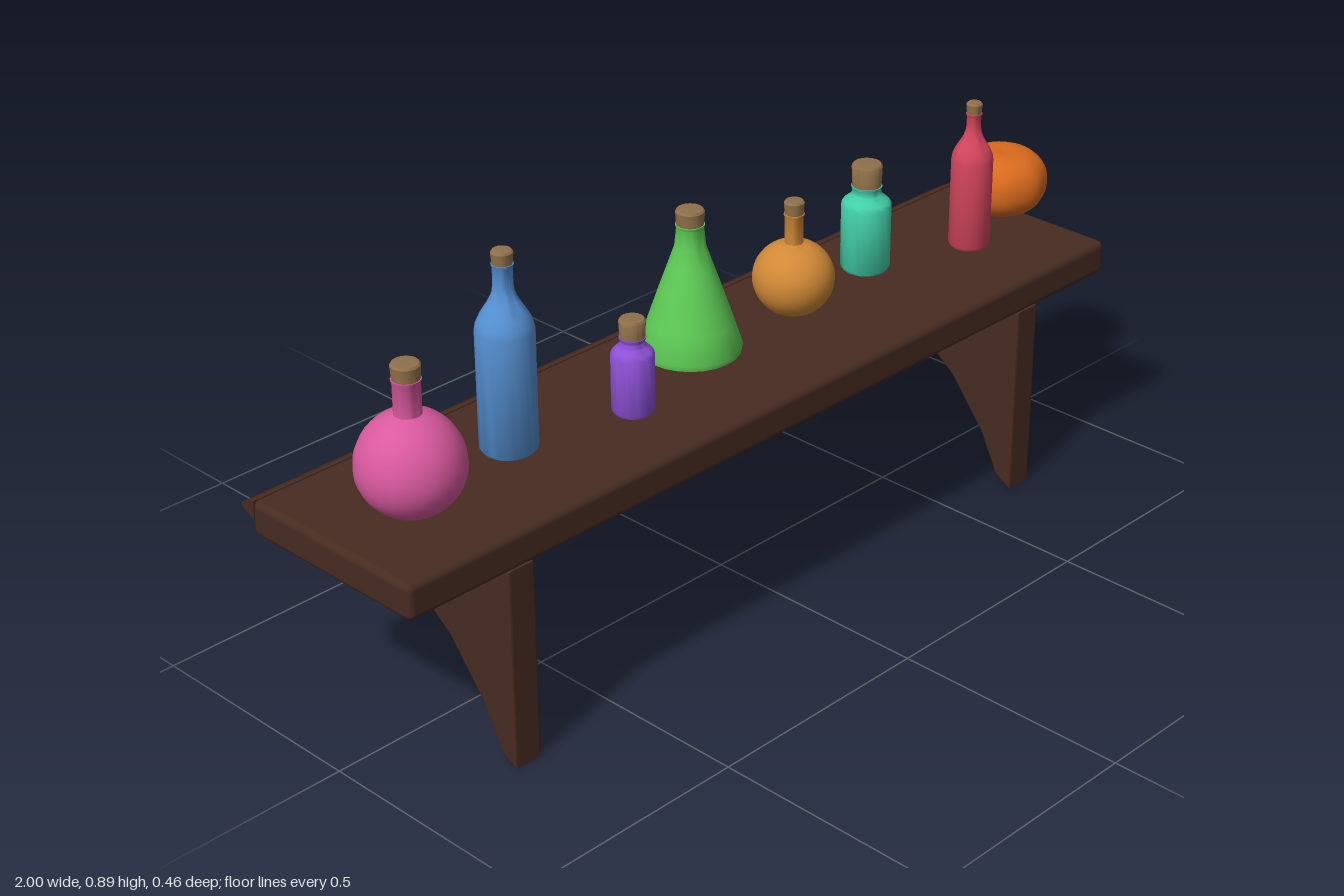
import * as THREE from 'three';
import { toCreasedNormals } from 'three/addons/utils/BufferGeometryUtils.js';
import { RoundedBoxGeometry } from 'three/addons/geometries/RoundedBoxGeometry.js';

const makeMaterial = (name, color) => {
  const m = new THREE.MeshStandardMaterial({ color });
  m.name = name;
  return m;
};
const wood = makeMaterial('darkWood', 0x472b21);
const cork = makeMaterial('cork', 0x90704a);

const TOP = 0.488; // height of the shelf surface

function addMesh(parent, name, geometry, material) {
  const mesh = new THREE.Mesh(geometry, material);
  mesh.name = name;
  parent.add(mesh);
  return mesh;
}

// Revolved solid from [radius, height] pairs, listed bottom to top
function lathe(points, segments = 24) {
  const g = new THREE.LatheGeometry(points.map(([r, y]) => new THREE.Vector2(r, y)), segments);
  return toCreasedNormals(g, 0.7);
}

// Extrudes a (z, y) outline along x, centred on x = 0
function extrudeAlongX(outline, width, bevel) {
  const shape = new THREE.Shape(outline.map(([z, y]) => new THREE.Vector2(-z, y)));
  const g = new THREE.ExtrudeGeometry(shape, {
    depth: width - 2 * bevel, bevelEnabled: bevel > 0,
    bevelSize: bevel, bevelOffset: -bevel, bevelThickness: bevel, bevelSegments: 2,
  });
  g.translate(0, 0, bevel - width / 2);
  g.rotateY(Math.PI / 2);
  return g;
}

// Round belly between a flat base and a neck
function belly(baseR, maxR, midY, neckR, halfHeight) {
  const points = [];
  const a0 = -Math.acos(baseR / maxR), a1 = Math.acos(neckR / maxR);
  for (let i = 0; i <= 14; i++) {
    const a = a0 + (a1 - a0) * i / 14;
    const h = a < 0 ? midY / Math.sin(-a0) : halfHeight;
    points.push([maxR * Math.cos(a), midY + h * Math.sin(a)]);
  }
  return points;
}

// Straight body with a curved shoulder
function cylinderBody(r, shoulderY, neckR, neckY) {
  const points = [[r * 0.9, 0], [r, 0.008], [r, shoulderY]];
  for (let i = 1; i <= 6; i++) {
    const t = i / 6;
    points.push([neckR + (r - neckR) * (1 + Math.cos(Math.PI * t)) / 2 * (1 - 0.1 * t),
      shoulderY + (neckY - shoulderY) * t]);
  }
  return points;
}

// Heights are measured from the shelf surface
const bottles = [
  { name: 'pinkRoundFlask', color: 0xd9599f, x: -0.81, z: 0.02, neckR: 0.026, corkY: 0.255, topY: 0.288,
    body: belly(0.055, 0.103, 0.082, 0.026, 0.108) },
  { name: 'blueTallBottle', color: 0x5590d2, x: -0.55, z: -0.012, neckR: 0.019, corkY: 0.377, topY: 0.405,
    body: cylinderBody(0.056, 0.245, 0.019, 0.335) },
  { name: 'purpleSmallBottle', color: 0x8d50d6, x: -0.29, z: 0.05, neckR: 0.024, corkY: 0.157, topY: 0.197,
    body: cylinderBody(0.042, 0.122, 0.024, 0.147) },
  { name: 'greenConicalFlask', color: 0x5ecb55, x: -0.032, z: -0.052, neckR: 0.027, corkY: 0.27, topY: 0.303,
    body: [[0.1, 0], [0.103, 0.012], [0.086, 0.065], [0.064, 0.13], [0.043, 0.19], [0.031, 0.225]] },
  { name: 'amberRoundFlask', color: 0xd18936, x: 0.248, z: -0.037, neckR: 0.019, corkY: 0.205, topY: 0.235,
    body: belly(0.05, 0.084, 0.066, 0.019, 0.078) },
  { name: 'tealBottle', color: 0x42cfa8, x: 0.485, z: -0.053, neckR: 0.03, corkY: 0.186, topY: 0.236,
    body: cylinderBody(0.052, 0.145, 0.03, 0.172) },
  { name: 'redTallBottle', color: 0xd4455d, x: 0.722, z: 0.03, neckR: 0.015, corkY: 0.298, topY: 0.324,
    body: cylinderBody(0.044, 0.195, 0.015, 0.27) },
];

function createBottle({ name, color, x, z, neckR, corkY, topY, body }) {
  const g = new THREE.Group();
  g.name = name;
  g.position.set(x, TOP, z);
  // Glass with a small lip under the cork
  const glass = [[0, 0], ...body, [neckR, corkY - 0.006], [neckR + 0.002, corkY - 0.003],
    [neckR + 0.002, corkY], [0, corkY]];
  addMesh(g, name + 'Glass', lathe(glass), makeMaterial(name + 'Glass', color));
  // Cork stopper, a little wider at the top
  const r = neckR + 0.002;
  addMesh(g, name + 'Cork', lathe([[0, corkY - 0.002], [r - 0.002, corkY - 0.002], [r, topY - 0.006],
    [r - 0.003, topY - 0.002], [0, topY]], 16), cork);
  return g;
}

// Squat pumpkin with dimpled ends and faint ribs
function pumpkinGeometry() {
  const g = new THREE.SphereGeometry(1, 40, 24);
  const p = g.attributes.position;
  const v = new THREE.Vector3();
  for (let i = 0; i < p.count; i++) {
    v.fromBufferAttribute(p, i);
    const s = Math.hypot(v.x, v.z);
    const a = Math.atan2(v.z, v.x);
    const rib = 1 - 0.012 * (1 - Math.cos(8 * a)) * s;
    const r = 0.1 * Math.pow(s, 0.88) * rib;
    const k = s > 1e-4 ? r / s : 0;
    const dimple = 1 - 0.13 * Math.pow(1 - s, 2);
    const y = Math.sign(v.y) * Math.pow(Math.abs(v.y), 0.9) * 0.076 * dimple;
    p.setXYZ(i, v.x * k, y, v.z * k);
  }
  g.computeVertexNormals();
  return g;
}

export function createModel() {
  const model = new THREE.Group();
  model.name = 'bottleShelf';

  // Shelf board
  addMesh(model, 'shelfBoard', new RoundedBoxGeometry(1.935, 0.073, 0.43, 3, 0.014), wood)
    .position.set(-0.0325, TOP - 0.0365, 0.013);

  // Pointed moulding along the back edge
  const moulding = [[-0.195, 0.452], [-0.195, 0.488], [-0.203, 0.488], [-0.228, 0.474],
    [-0.228, 0.466], [-0.203, 0.452]];
  addMesh(model, 'backMoulding', extrudeAlongX(moulding, 1.935, 0), wood).position.x = -0.0325;

  // Curved brackets
  const bracket = [[0.228, 0], [0.228, 0.418], [-0.113, 0.418], [-0.11, 0.402], [-0.094, 0.344],
    [-0.03, 0.283], [0.06, 0.214], [0.145, 0.108], [0.187, 0.024], [0.205, 0.01]];
  const bracketGeometry = extrudeAlongX(bracket, 0.063, 0.005);
  addMesh(model, 'rightBracket', bracketGeometry, wood).position.x = -0.742;
  addMesh(model, 'leftBracket', bracketGeometry, wood).position.x = 0.679;

  // Row of bottles
  bottles.forEach((b) => model.add(createBottle(b)));

  // Pumpkin at the end of the shelf
  addMesh(model, 'pumpkin', pumpkinGeometry(), makeMaterial('pumpkinOrange', 0xd96a1e))
    .position.set(0.898, TOP + 0.075, -0.03);

  return model;
}
